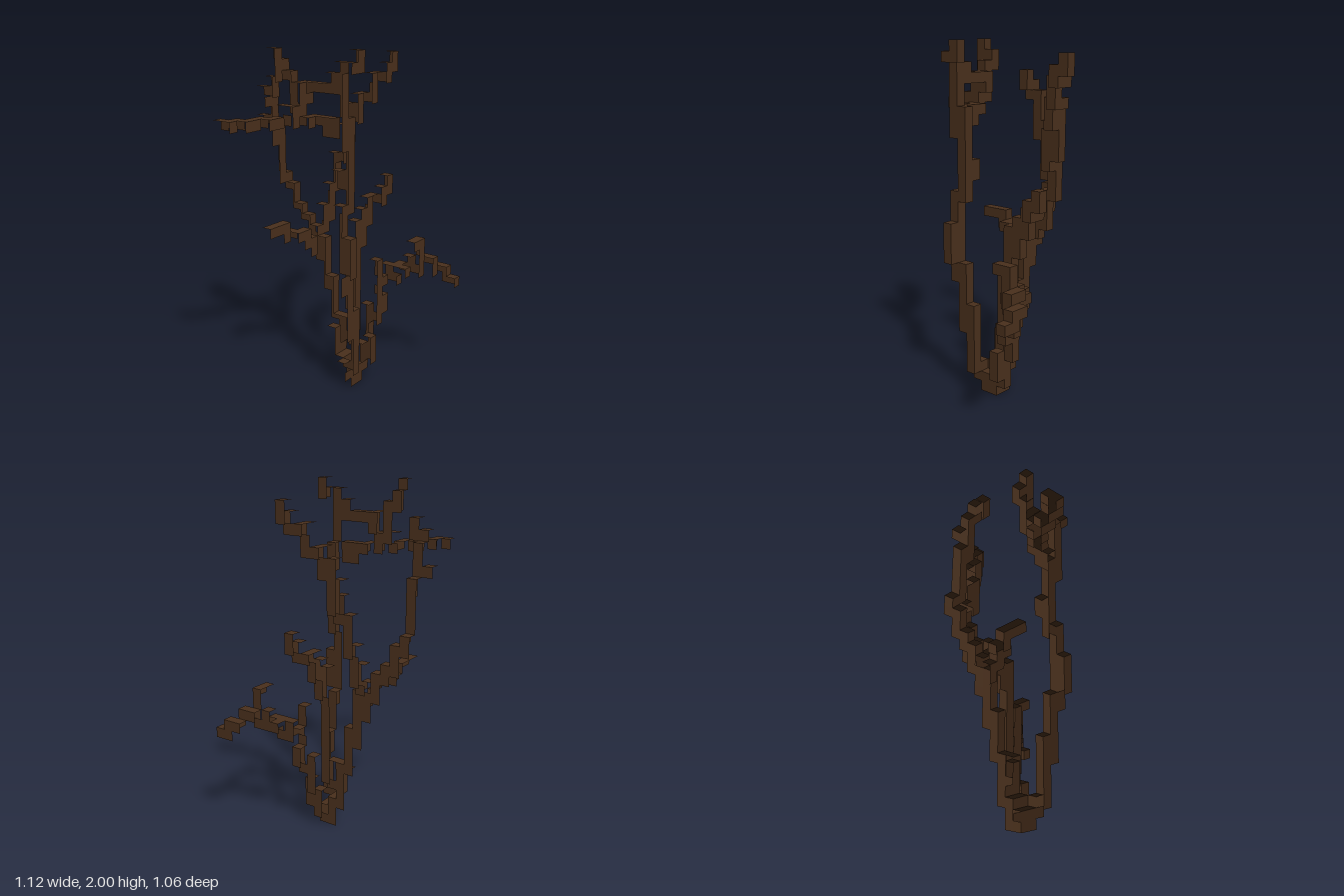
import * as THREE from 'three';
import { mergeGeometries } from 'three/addons/utils/BufferGeometryUtils.js';

const U = 1 / 17; // edge of one voxel
const bark = new THREE.MeshStandardMaterial({ color: 0x4a301c, flatShading: true, side: THREE.DoubleSide });

// Each branch is a chain of upright columns: [x cell, z cell, lowest y cell, highest y cell]
const branches = {
  rootBase: [
    [10, 9, 0, 2], [10, 10, 0, 1], [11, 9, 0, 2], [11, 10, 0, 1],
    [9, 10, 1, 2], [12, 10, 1, 3], [10, 8, 2, 5], [11, 8, 2, 6],
  ],
  leftTrunk: [
    [9, 11, 2, 8], [8, 11, 6, 12], [7, 11, 11, 19], [7, 12, 13, 16], [8, 11, 19, 27],
    [8, 10, 21, 22], [7, 11, 25, 32], [7, 12, 32, 32], [8, 12, 32, 33],
  ],
  sideBranch: [
    [7, 10, 26, 27], [7, 9, 26, 27], [7, 8, 27, 27], [6, 8, 27, 27], [6, 7, 27, 27], [5, 7, 27, 28],
    [5, 6, 27, 28], [4, 6, 27, 27], [3, 6, 27, 27], [3, 5, 27, 27], [2, 5, 27, 27], [1, 5, 27, 27],
    [1, 4, 27, 27], [0, 4, 27, 27], [0, 3, 27, 27],
  ],
  upperTwig: [
    [7, 10, 30, 31], [7, 9, 30, 30], [7, 8, 30, 30], [7, 7, 29, 30], [6, 7, 28, 30],
    [6, 6, 28, 31], [6, 5, 31, 32], [5, 5, 31, 33],
  ],
  backTrunk: [[11, 7, 6, 10], [11, 6, 9, 14], [11, 5, 12, 15]],
  backBranch: [
    [11, 4, 14, 16], [11, 3, 16, 17], [11, 2, 17, 19], [11, 1, 19, 20], [10, 1, 20, 25],
    [9, 1, 24, 28], [9, 0, 26, 26], [8, 1, 28, 29], [8, 2, 29, 30],
  ],
  backRightBranch: [
    [12, 5, 15, 17], [13, 5, 16, 19], [14, 5, 19, 22], [14, 6, 22, 25], [15, 6, 23, 27], [15, 7, 26, 28],
    [16, 7, 28, 28], [16, 8, 28, 30], [17, 8, 30, 30], [17, 9, 30, 31], [18, 9, 31, 32],
  ],
  middleTwig: [
    [10, 5, 13, 14], [9, 5, 14, 15], [8, 5, 15, 15], [8, 4, 15, 15], [7, 4, 15, 16], [6, 4, 16, 16], [5, 4, 16, 16],
  ],
  centreBranch: [
    [11, 9, 4, 6], [12, 9, 5, 16], [13, 9, 14, 17], [14, 9, 16, 18], [15, 9, 18, 18], [15, 10, 18, 19], [16, 10, 19, 20],
  ],
  frontBranch: [
    [12, 11, 2, 4], [13, 10, 4, 7], [13, 11, 6, 12], [14, 11, 7, 8], [14, 11, 10, 10], [15, 11, 10, 11],
    [15, 12, 10, 11], [15, 13, 11, 11], [16, 12, 11, 11], [16, 13, 11, 12], [16, 14, 11, 14], [15, 14, 14, 14],
    [17, 14, 12, 12], [17, 15, 11, 12], [18, 15, 11, 11], [18, 16, 10, 11], [18, 17, 10, 10],
  ],
};

// Voxels are open shells: only their left (+x), top and front faces exist
const faces = [
  { dir: [1, 0, 0], quad: new THREE.PlaneGeometry(U, U).rotateY(Math.PI / 2) },
  { dir: [0, 1, 0], quad: new THREE.PlaneGeometry(U, U).rotateX(-Math.PI / 2) },
  { dir: [0, 0, 1], quad: new THREE.PlaneGeometry(U, U) },
];

// List the voxels [x, y, z] of a chain of columns
function voxelsOf(columns) {
  const cells = [];
  for (const [i, k, low, high] of columns) {
    for (let j = low; j <= high; j++) cells.push([i, j, k]);
  }
  return cells;
}

// Merge the faces that no neighbouring voxel covers
function branchGeometry(cells, filled) {
  const quads = [];
  for (const [i, j, k] of cells) {
    for (const { dir: [dx, dy, dz], quad } of faces) {
      if (filled.has(`${[i + dx, j + dy, k + dz]}`)) continue;
      quads.push(quad.clone().translate(
        (i - 9 + dx / 2) * U, (j + 0.5 + dy / 2) * U, (k - 8.5 + dz / 2) * U));
    }
  }
  return mergeGeometries(quads);
}

export function createModel() {
  const tree = new THREE.Group();
  tree.name = 'bareTree';
  const filled = new Set(voxelsOf(Object.values(branches).flat()).map(String));
  for (const [name, columns] of Object.entries(branches)) {
    const branch = new THREE.Mesh(branchGeometry(voxelsOf(columns), filled), bark);
    branch.name = name;
    tree.add(branch);
  }
  return tree;
}
